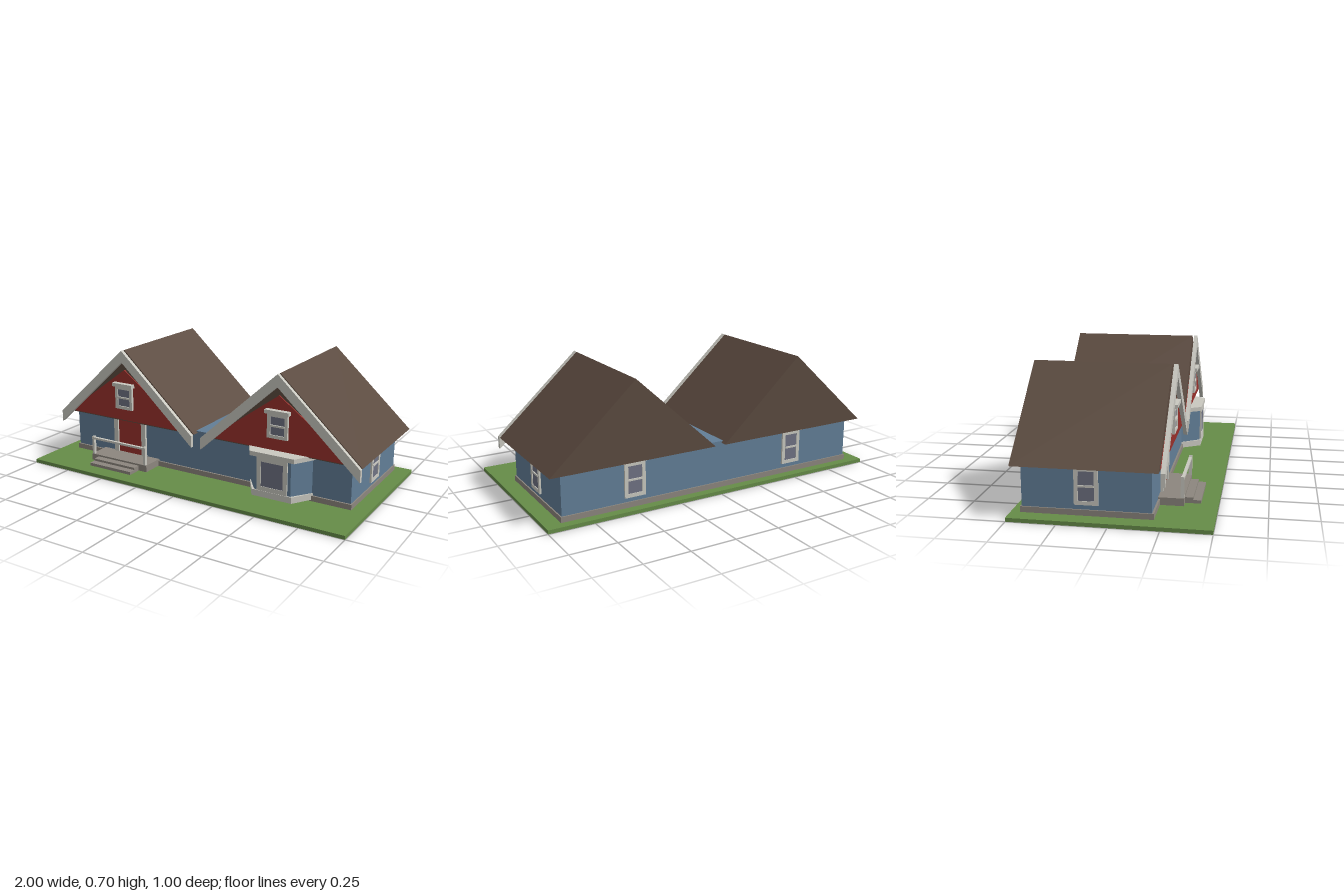
import * as THREE from 'three';

const mat = (name, color) => {
  const m = new THREE.MeshStandardMaterial({ color });
  m.name = name;
  return m;
};

export function createModel() {
  const house = new THREE.Group();
  house.name = 'house';

  const grass = mat('grass green', 0x668c48);
  const stone = mat('stone grey', 0x8c867e);
  const blue = mat('wall blue', 0x627e97);
  const red = mat('gable red', 0x98302b);
  const trim = mat('trim white', 0xc9c8c0);
  const brown = mat('roof brown', 0x5b4a3f);
  const glass = mat('glass slate', 0x6f7283);

  const add = (parent, name, geometry, material) => {
    const mesh = new THREE.Mesh(geometry, material);
    mesh.name = name;
    parent.add(mesh);
    return mesh;
  };
  // Box given by its minimum and maximum on each axis
  const box = (parent, name, material, x0, x1, y0, y1, z0, z1) => {
    const mesh = add(parent, name, new THREE.BoxGeometry(x1 - x0, y1 - y0, z1 - z0), material);
    mesh.position.set((x0 + x1) / 2, (y0 + y1) / 2, (z0 + z1) / 2);
    return mesh;
  };
  const shapeOf = (points) => new THREE.Shape(points.map(([x, y]) => new THREE.Vector2(x, y)));
  const extrude = (shape, depth) => new THREE.ExtrudeGeometry(shape, { depth, bevelEnabled: false });
  // Outline in x and y, extruded from z0 to z1
  const prism = (parent, name, material, points, z0, z1) => {
    const mesh = add(parent, name, extrude(shapeOf(points), z1 - z0), material);
    mesh.position.z = z0;
    return mesh;
  };
  // Plan outline in x and z, raised from y0 to y1
  const slab = (parent, name, material, points, y0, y1) => {
    const mesh = add(parent, name, extrude(shapeOf(points.map(([x, z]) => [x, -z])), y1 - y0), material);
    mesh.rotation.x = -Math.PI / 2;
    mesh.position.y = y0;
    return mesh;
  };

  // Framed window facing +z, centred on its own origin
  const makeWindow = (name, w, h, border, { depth = 0.01, bar = true, cap = 0, capDepth = 0.02 } = {}) => {
    const g = new THREE.Group();
    g.name = name;
    const a = w / 2, b = h / 2, c = a - border, d = b - border;
    const frame = shapeOf([[-a, -b], [a, -b], [a, b], [-a, b]]);
    frame.holes.push(new THREE.Path([[-c, -d], [-c, d], [c, d], [c, -d]].map(([x, y]) => new THREE.Vector2(x, y))));
    add(g, 'windowFrame', extrude(frame, depth), trim);
    box(g, 'windowGlass', glass, -c, c, -d, d, 0, depth * 0.6);
    if (bar) box(g, 'windowBar', trim, -c, c, -0.005, 0.005, 0, depth + 0.002);
    if (cap) box(g, 'windowCap', trim, -a - 0.01, a + 0.01, b - 0.001, b + cap, 0, capDepth);
    house.add(g);
    return g;
  };

  // Ground, foundation and walls
  box(house, 'lawn', grass, -1, 1, 0, 0.02, -0.5, 0.5);
  box(house, 'foundation', stone, -0.912, 0.912, 0.02, 0.05, -0.452, 0.21);
  box(house, 'walls', blue, -0.905, 0.905, 0.05, 0.282, -0.445, 0.2);

  // Twin gabled roofs with their barge boards and attic windows
  for (const side of [-1, 1]) {
    const gable = new THREE.Group();
    gable.name = side < 0 ? 'rightGable' : 'leftGable';
    gable.position.x = side * 0.502;
    house.add(gable);
    prism(gable, 'roof', brown, [[-0.472, 0.272], [0.472, 0.272], [0, 0.703]], -0.482, 0.241);
    prism(gable, 'gablePanel', red, [[-0.42, 0.28], [0.42, 0.28], [0, 0.585]], 0.2, 0.249);
    prism(gable, 'bargeBoards', trim,
      [[-0.472, 0.205], [0, 0.635], [0.472, 0.205], [0.472, 0.273], [0, 0.704], [-0.472, 0.273]], 0.25, 0.272);
    makeWindow('atticWindow', 0.12, 0.137, 0.018, { depth: 0.016, cap: 0.02, capDepth: 0.03 })
      .position.set(side * 0.502, 0.419, 0.249);
  }

  // Windows on the sides and back
  for (const side of [-1, 1]) {
    const sideWindow = makeWindow('sideWindow', 0.12, 0.19, 0.02, { cap: 0.015 });
    sideWindow.position.set(side * 0.905, 0.17, -0.12);
    sideWindow.rotation.y = side * Math.PI / 2;
    const backWindow = makeWindow('backWindow', 0.12, 0.19, 0.02, { cap: 0.015 });
    backWindow.position.set(side * 0.5, 0.17, -0.445);
    backWindow.rotation.y = Math.PI;
  }

  // Front door with side trim
  box(house, 'door', red, -0.59, -0.42, 0.05, 0.28, 0.195, 0.205);
  box(house, 'doorTrim', trim, -0.62, -0.59, 0.05, 0.28, 0.195, 0.215);
  box(house, 'doorTrim', trim, -0.42, -0.39, 0.05, 0.28, 0.195, 0.215);

  // Porch, steps and railing
  box(house, 'porch', stone, -0.703, -0.303, 0.02, 0.06, 0.2, 0.33);
  box(house, 'upperStep', stone, -0.652, -0.358, 0.02, 0.05, 0.33, 0.372);
  box(house, 'lowerStep', stone, -0.652, -0.358, 0.02, 0.037, 0.33, 0.412);
  for (const x of [-0.69, -0.316])
    box(house, 'railPost', trim, x - 0.007, x + 0.007, 0.06, 0.17, 0.313, 0.331);
  box(house, 'handRail', trim, -0.69, -0.316, 0.153, 0.165, 0.314, 0.33);

  // Bay window
  const bayPlan = (back, front, z) => [[0.5 - back, 0.19], [0.5 - front, z], [0.5 + front, z], [0.5 + back, 0.19]];
  slab(house, 'bayBase', trim, bayPlan(0.197, 0.118, 0.312), 0.027, 0.062);
  slab(house, 'bayWalls', blue, bayPlan(0.192, 0.108, 0.304), 0.062, 0.255);
  slab(house, 'bayCap', trim, bayPlan(0.206, 0.13, 0.316), 0.253, 0.278);
  makeWindow('bayPane', 0.18, 0.19, 0.025, { depth: 0.008, bar: false }).position.set(0.5, 0.158, 0.304);

  return house;
}
